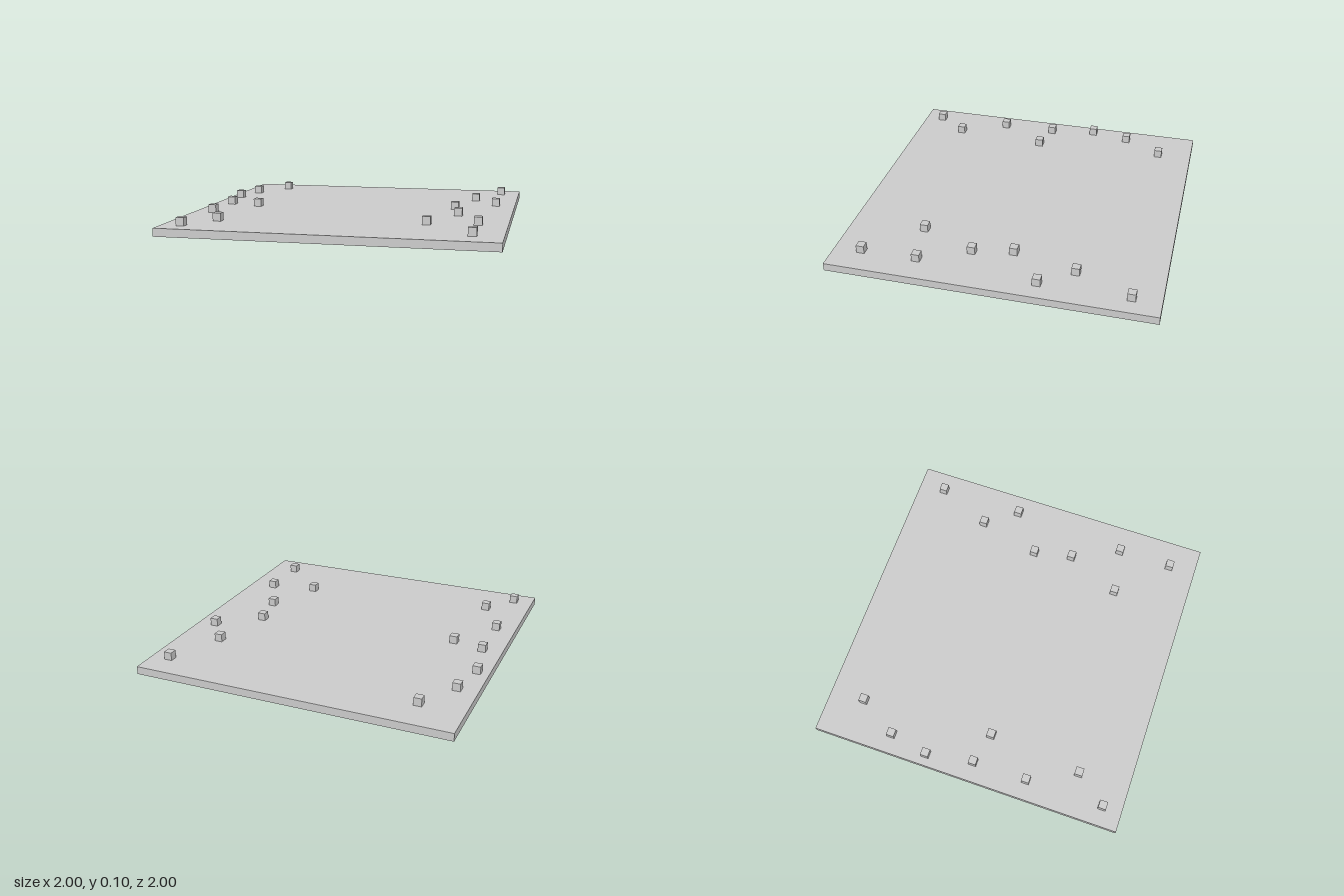
import * as THREE from 'three';

const SLAB = 0.05; // slab thickness
const CUBE = 0.05; // edge of each small block

// block centres as [x, z], in two loose rows along the sides
const RIGHT_ROW = [
  [-0.725, -0.775], [-0.875, -0.525], [-0.925, -0.275], [-0.875, 0.025],
  [-0.675, 0.075], [-0.875, 0.375], [-0.725, 0.675], [-0.875, 0.875],
];
const LEFT_ROW = [
  [0.875, -0.825], [0.725, -0.475], [0.875, -0.275], [0.625, -0.075],
  [0.675, 0.175], [0.825, 0.475], [0.525, 0.525], [0.825, 0.825],
];

export function createModel() {
  const model = new THREE.Group();
  const material = new THREE.MeshStandardMaterial({ color: 0xcccccc });

  // flat square ground slab
  const slab = new THREE.Mesh(new THREE.BoxGeometry(2, SLAB, 2), material);
  slab.name = 'groundSlab';
  slab.position.y = SLAB / 2;
  model.add(slab);

  // small blocks standing on the slab
  const cube = new THREE.BoxGeometry(CUBE, CUBE, CUBE);
  const addRow = (name, spots) => {
    const row = new THREE.Group();
    row.name = name;
    spots.forEach(([x, z], i) => {
      const block = new THREE.Mesh(cube, material);
      block.name = `block${i + 1}`;
      block.position.set(x, SLAB + CUBE / 2, z);
      row.add(block);
    });
    model.add(row);
  };
  addRow('rightBlocks', RIGHT_ROW);
  addRow('leftBlocks', LEFT_ROW);

  return model;
}
